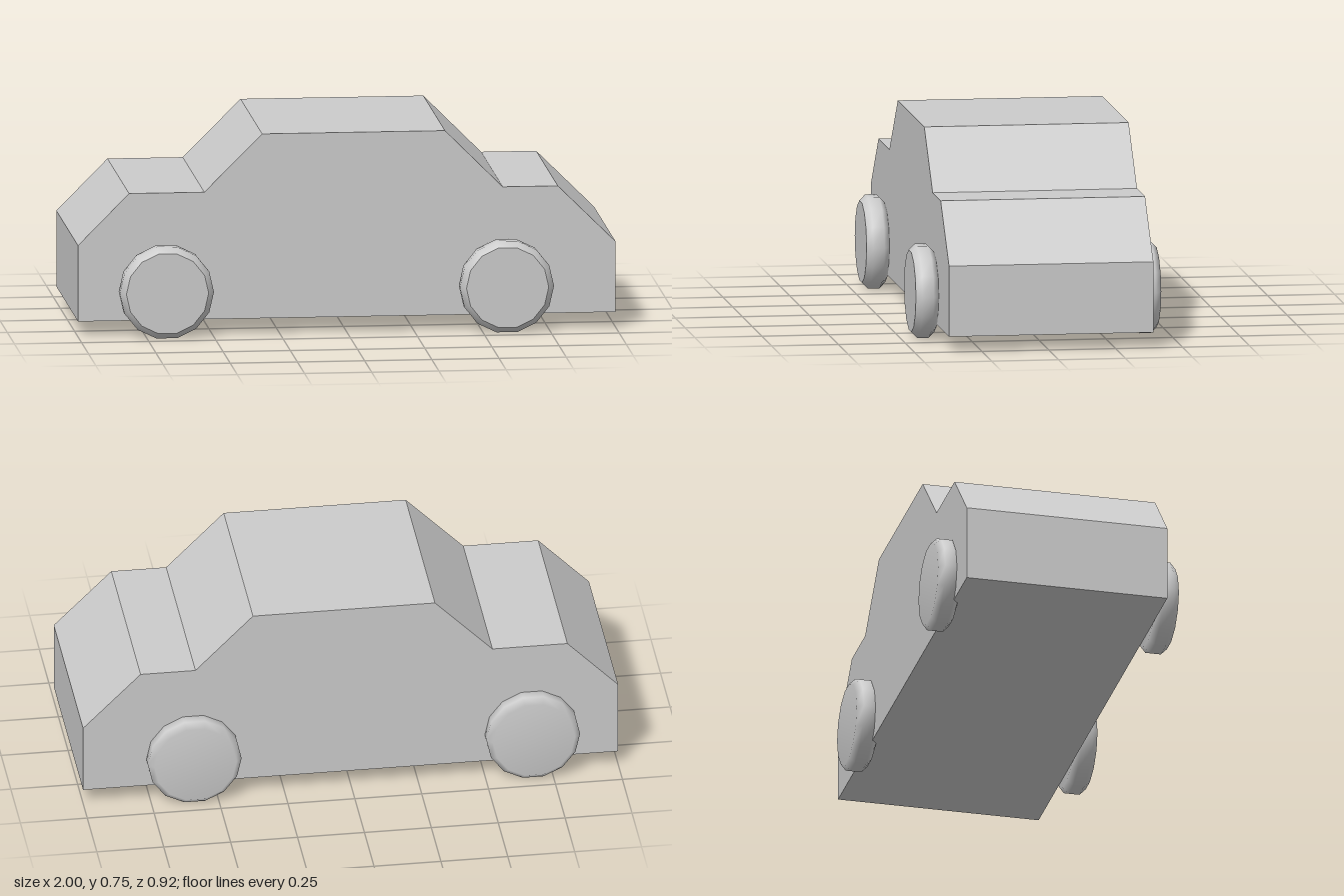
import * as THREE from 'three';

const material = new THREE.MeshStandardMaterial({ color: 0xcccccc });
const SIDES = 14;
const CAP_RADIUS = 0.153;

function addMesh(parent, name, geometry) {
  const mesh = new THREE.Mesh(geometry, material);
  mesh.name = name;
  parent.add(mesh);
  return mesh;
}

// Car silhouette extruded across its width
function createBody() {
  const outline = [
    [-1, 0.058], [1, 0.058], [1, 0.322], [0.785, 0.535], [0.58, 0.535],
    [0.365, 0.75], [-0.315, 0.75], [-0.53, 0.535], [-0.81, 0.535], [-1, 0.343],
  ];
  const shape = new THREE.Shape(outline.map(([x, y]) => new THREE.Vector2(x, y)));
  const geometry = new THREE.ExtrudeGeometry(shape, { depth: 0.764, bevelEnabled: false });
  return geometry.translate(0, 0, -0.391);
}

// Chamfered wheel; with a flat cap its +z face has a crisp edge
function createWheel(name, flatCap) {
  const wheel = new THREE.Group();
  wheel.name = name;
  const profile = [
    [0, -0.043], [CAP_RADIUS, -0.043], [0.175, -0.021], [0.175, 0.021], [CAP_RADIUS, 0.043],
  ];
  if (!flatCap) profile.push([0, 0.043]);
  const points = profile.map(([r, h]) => new THREE.Vector2(r, h));
  const tire = new THREE.LatheGeometry(points, SIDES, Math.PI / 2);
  addMesh(wheel, 'tire', tire.rotateX(Math.PI / 2));
  if (flatCap) {
    addMesh(wheel, 'wheelCap', new THREE.CircleGeometry(CAP_RADIUS, SIDES).translate(0, 0, 0.043));
  }
  return wheel;
}

export function createModel() {
  const car = new THREE.Group();
  car.name = 'car';
  addMesh(car, 'body', createBody());

  // Two wheels on each side
  for (const x of [-0.676, 0.589]) {
    for (const z of [0.416, -0.415]) {
      const name = (z > 0 ? 'near' : 'far') + (x > 0 ? 'Left' : 'Right') + 'Wheel';
      const wheel = createWheel(name, z > 0);
      wheel.position.set(x, 0.171, z);
      car.add(wheel);
    }
  }
  return car;
}
